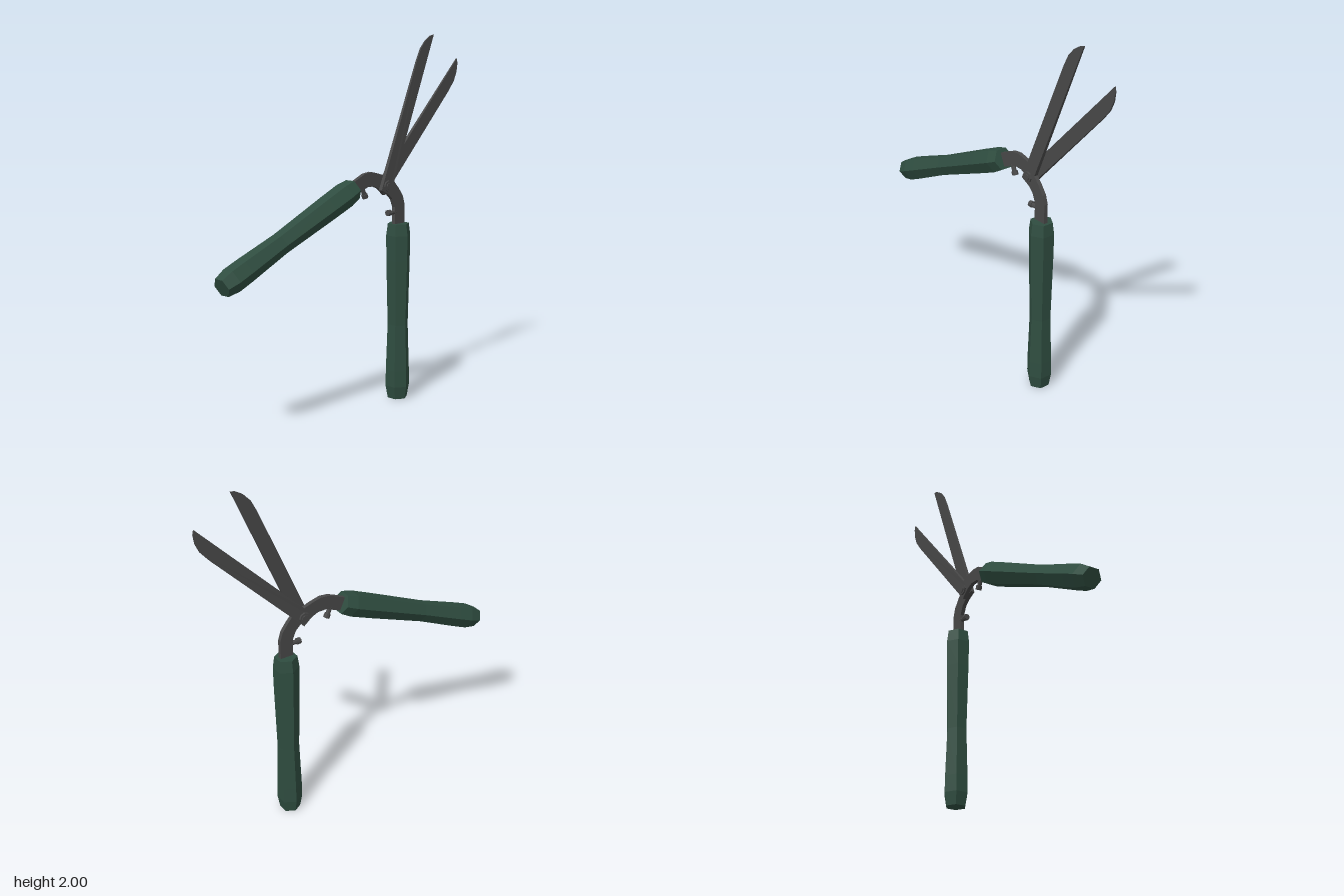
import * as THREE from 'three';

const green = new THREE.MeshStandardMaterial({ color: 0x2f4d40, flatShading: true });
const metal = new THREE.MeshStandardMaterial({ color: 0x484848, flatShading: true });

function addMesh(parent, name, geometry, material) {
  const mesh = new THREE.Mesh(geometry, material);
  mesh.name = name;
  parent.add(mesh);
  return mesh;
}

// One half of the shears, pivot at the origin, handle pointing straight down
function createHalf(name) {
  const half = new THREE.Group();
  half.name = name;

  // Blade and curved neck in one flat outline
  const outline = [
    [-0.048, -0.02], [0.238, 0.663], [0.27, 0.727], [0.308, 0.769], [0.35, 0.795], [0.376, 0.8],
    [0.05, 0.021], [0.085, -0.018], [0.118, -0.062], [0.133, -0.11], [0.133, -0.24],
    [0.058, -0.24], [0.058, -0.122], [0.038, -0.076], [0.008, -0.048], [-0.015, -0.036],
  ].map(([x, y]) => new THREE.Vector2(x, y));
  const blade = new THREE.ExtrudeGeometry(new THREE.Shape(outline), { depth: 0.022, bevelEnabled: false });
  // Thin the outer face towards the tip
  const pos = blade.attributes.position;
  for (let i = 0; i < pos.count; i++) {
    const t = Math.max(0, pos.getY(i)) / 0.8;
    pos.setZ(i, pos.getZ(i) * (1 - 0.65 * t));
  }
  addMesh(half, 'bladeAndNeck', blade, metal);

  // Six-sided grip with a waist
  const profile = [
    [0, 0], [0.055, 0], [0.068, 0.07], [0.067, 0.16], [0.058, 0.42],
    [0.067, 0.78], [0.069, 0.92], [0.06, 0.985], [0, 0.985],
  ].map(([r, y]) => new THREE.Vector2(r, y));
  const grip = addMesh(half, 'grip', new THREE.LatheGeometry(profile, 6), green);
  grip.position.set(0.098, -1.2, 0.009);

  // Stop peg with a small head on the inside of the neck
  const peg = addMesh(half, 'stopPeg', new THREE.CylinderGeometry(0.012, 0.012, 0.06, 8), metal);
  const head = addMesh(half, 'stopPegHead', new THREE.CylinderGeometry(0.017, 0.017, 0.022, 8), metal);
  peg.rotation.z = head.rotation.z = Math.PI / 2;
  peg.position.set(0.04, -0.15, 0.011);
  head.position.set(0.019, -0.15, 0.011);
  return half;
}

export function createModel() {
  const model = new THREE.Group();
  model.name = 'hedgeShears';

  // Working plane: x runs to the back, z to the model's left
  const shears = new THREE.Group();
  shears.name = 'shears';
  shears.rotation.y = Math.PI / 2;
  shears.position.set(-0.002, 1.2, -0.281);
  model.add(shears);

  // The second half is the first turned over about the line between the blades
  shears.add(createHalf('rearHalf'));
  const front = createHalf('frontHalf');
  const lean = THREE.MathUtils.degToRad(33.2);
  front.quaternion.setFromAxisAngle(new THREE.Vector3(Math.sin(lean), Math.cos(lean), 0), Math.PI);
  shears.add(front);

  // Pivot bolt: shaft, two collars and a smaller cap on each side
  const bolt = new THREE.Group();
  bolt.name = 'pivotBolt';
  bolt.rotation.x = Math.PI / 2;
  shears.add(bolt);
  addMesh(bolt, 'shaft', new THREE.CylinderGeometry(0.019, 0.019, 0.06, 8), metal);
  for (const side of [-1, 1]) {
    const collar = addMesh(bolt, 'collar', new THREE.CylinderGeometry(0.03, 0.03, 0.01, 8), metal);
    collar.position.y = side * 0.025;
    const cap = addMesh(bolt, 'cap', new THREE.CylinderGeometry(0.018, 0.018, 0.006, 8), metal);
    cap.position.y = side * 0.032;
  }
  return model;
}
